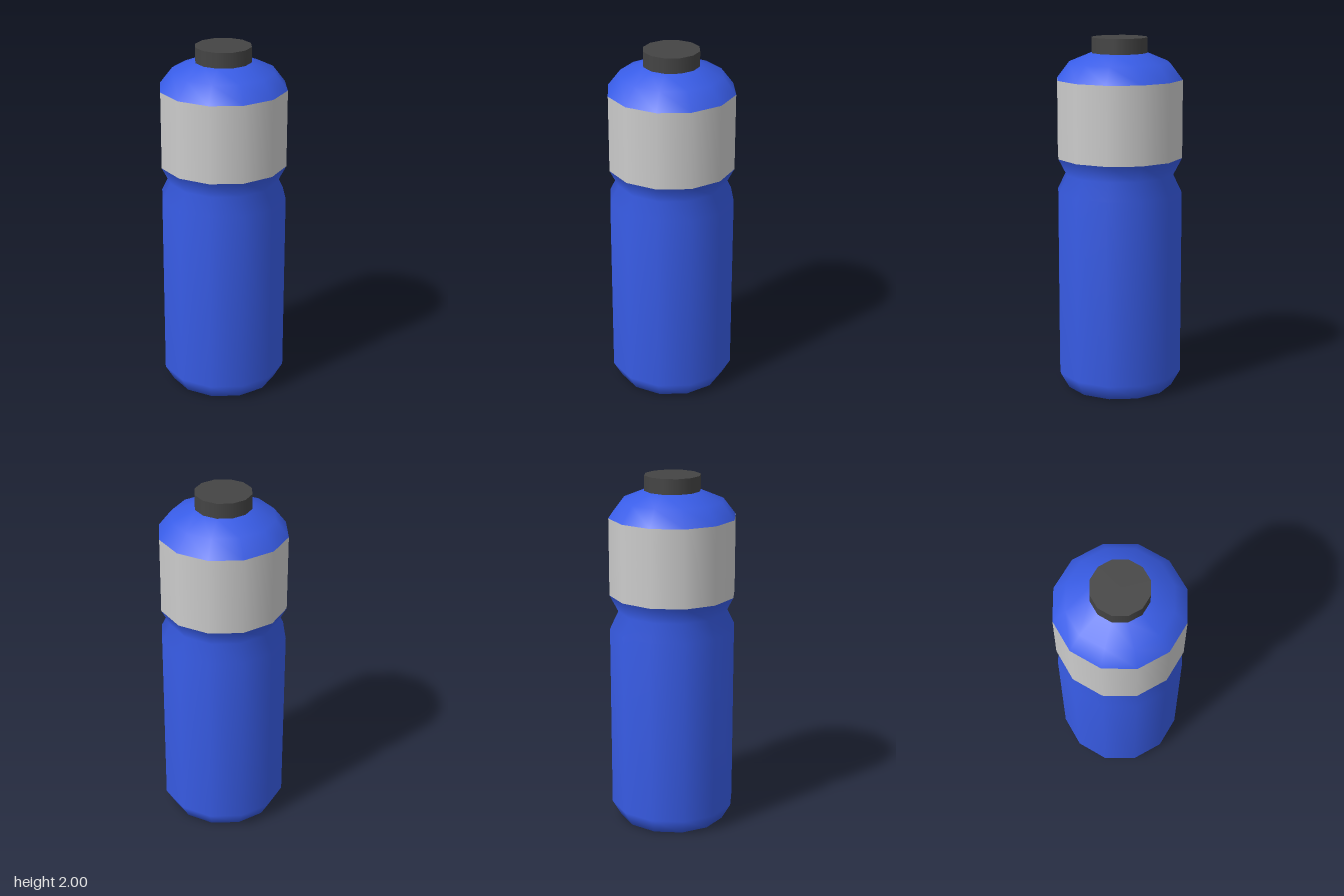
import * as THREE from 'three';

const SIDES = 12;
const RADIUS = 0.356;
const CAP_RADIUS = 0.157;

const blue = new THREE.MeshStandardMaterial({ color: 0x385ce6 });
const grey = new THREE.MeshStandardMaterial({ color: 0xcccccc });
const dark = new THREE.MeshStandardMaterial({ color: 0x444444 });

// Smooth twelve-sided turned part from [radius, height] pairs, bottom to top
function turned(name, profile, material) {
  const points = profile.map(([r, y]) => new THREE.Vector2(r, y));
  const mesh = new THREE.Mesh(new THREE.LatheGeometry(points, SIDES), material);
  mesh.name = name;
  return mesh;
}

export function createModel() {
  const bottle = new THREE.Group();
  bottle.name = 'waterBottle';

  // Closed base, straight wall and pinched grip groove
  bottle.add(turned('body', [
    [0, 0], [0.305, 0], [RADIUS, 0.09], [RADIUS, 1.14], [0.307, 1.24], [RADIUS, 1.335],
  ], blue));

  // Plain band around the upper part
  bottle.add(turned('band', [[RADIUS, 1.335], [RADIUS, 1.77]], grey));

  // Domed shoulder up to the cap
  bottle.add(turned('shoulder', [
    [RADIUS, 1.77], [0.285, 1.862], [CAP_RADIUS, 1.915],
  ], blue));

  // Flat-topped cap
  const cap = new THREE.Mesh(
    new THREE.CylinderGeometry(CAP_RADIUS, CAP_RADIUS, 0.085, SIDES), dark);
  cap.name = 'cap';
  cap.position.y = 1.9575;
  bottle.add(cap);

  return bottle;
}
